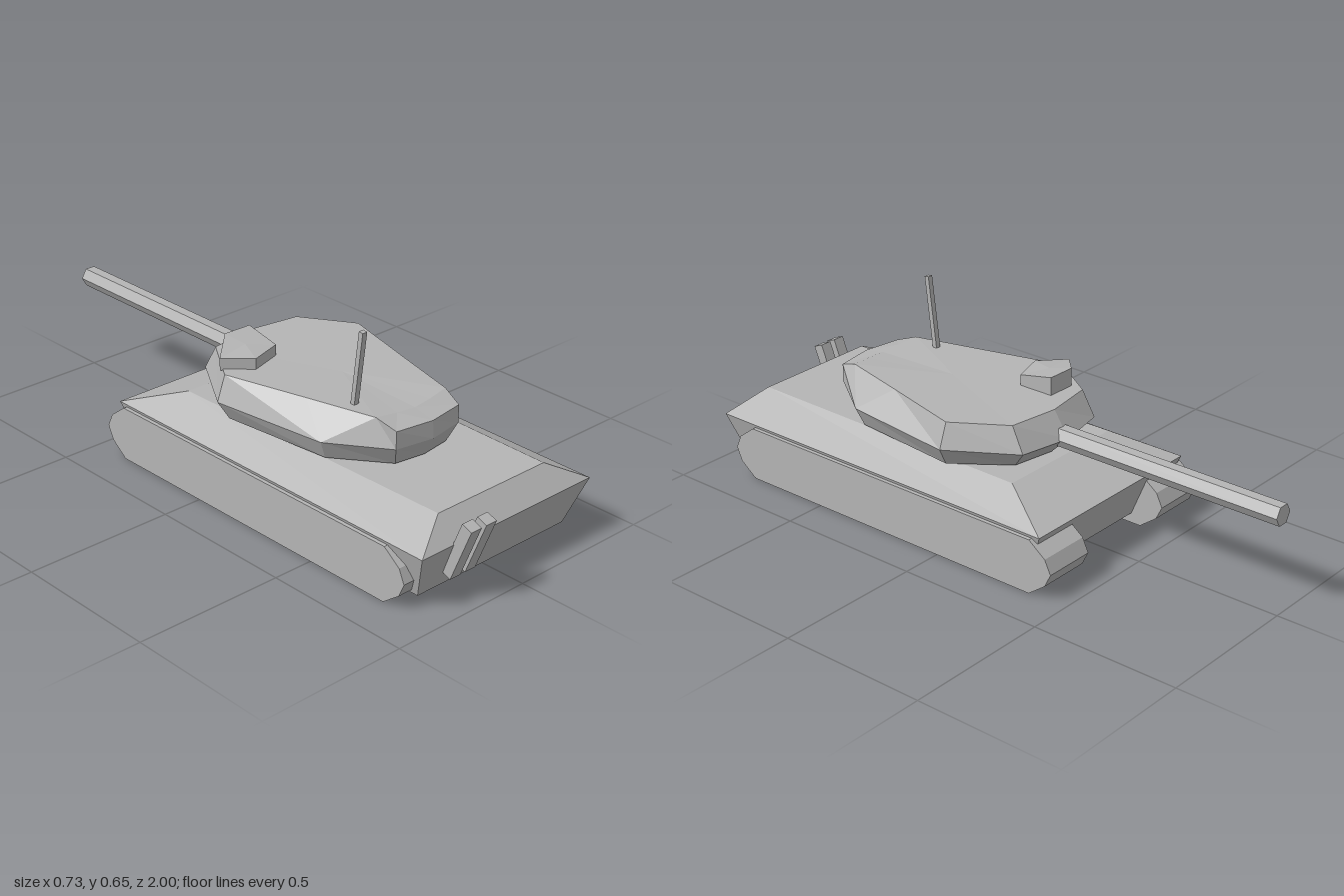
import * as THREE from 'three';

// Skin stacked rings of [x, y, z] points (clockwise seen from above, bottom ring first) and cap both ends.
function loft(rings) {
  const pos = [];
  const tri = (...pts) => {
    const [a, b, c] = pts.map((p) => new THREE.Vector3(...p));
    if (b.sub(a).cross(c.sub(a)).length() > 1e-7) pos.push(...pts.flat());
  };
  const mean = (r) => [0, 1, 2].map((k) => r.reduce((s, p) => s + p[k], 0) / r.length);
  const n = rings[0].length;
  const low = rings[0], high = rings[rings.length - 1];
  const lowMid = mean(low), highMid = mean(high);
  for (let i = 0; i < n; i++) {
    const j = (i + 1) % n;
    for (let k = 0; k + 1 < rings.length; k++) {
      const a = rings[k], b = rings[k + 1];
      tri(a[i], b[i], b[j]);
      tri(a[i], b[j], a[j]);
    }
    tri(lowMid, low[i], low[j]);
    tri(highMid, high[j], high[i]);
  }
  const g = new THREE.BufferGeometry();
  g.setAttribute('position', new THREE.Float32BufferAttribute(pos, 3));
  g.computeVertexNormals();
  return g;
}

// Complete a ring from its +x half, listed from gun end to rear; the ends lie on x = 0.
const mirrorRing = (half) => [
  ...half,
  ...half.slice(1, -1).reverse().map(([x, y, z]) => [-x, y, z]),
];

// Four-cornered ring with its own half width at each end.
const rectRing = (y, w0, z0, w1, z1) => [[-w0, y, z0], [w0, y, z0], [w1, y, z1], [-w1, y, z1]];

export function createModel() {
  const model = new THREE.Group();
  model.name = 'tank';
  const grey = new THREE.MeshStandardMaterial({ color: 0xb4b4b4, flatShading: true });
  grey.name = 'armour grey';

  const add = (name, geometry, x = 0, y = 0, z = 0) => {
    const mesh = new THREE.Mesh(geometry, grey);
    mesh.name = name;
    mesh.position.set(x, y, z);
    model.add(mesh);
    return mesh;
  };

  // Hull: belly, wide rim, narrower deck
  add('hull', loft([
    rectRing(0.033, 0.308, -0.33, 0.308, 0.88),
    rectRing(0.19, 0.354, -0.395, 0.354, 0.937),
    rectRing(0.26, 0.237, -0.195, 0.222, 0.868),
  ]));

  // Tracks: side outline extruded across their width
  const outline = [
    [0.8, 0], [0.86, 0.045], [0.88, 0.09], [0.86, 0.135], [0.8, 0.18],
    [-0.365, 0.18], [-0.425, 0.135], [-0.447, 0.09], [-0.425, 0.045], [-0.365, 0],
  ].map(([z, y]) => new THREE.Vector2(z, y));
  const track = new THREE.ExtrudeGeometry(new THREE.Shape(outline), { depth: 0.179, bevelEnabled: false });
  track.rotateY(-Math.PI / 2);
  add('rightTrack', track, -0.185);
  add('leftTrack', track, 0.364);

  // Turret: base, belt, upper edge, roof that dips to a rear lip
  const top = [
    [0, 0.41, -0.165], [0.17, 0.41, -0.14], [0.28, 0.41, 0.03], [0.205, 0.41, 0.31],
    [0.145, 0.41, 0.54], [0.13, 0.385, 0.61], [0, 0.385, 0.63],
  ];
  add('turret', loft([
    [[0, 0.264, -0.155], [0.145, 0.264, -0.13], [0.272, 0.264, 0.04], [0.232, 0.264, 0.42],
      [0.232, 0.264, 0.42], [0.107, 0.264, 0.585], [0, 0.264, 0.6]],
    [[0, 0.327, -0.22], [0.175, 0.327, -0.185], [0.31, 0.327, 0.03], [0.26, 0.327, 0.43],
      [0.26, 0.327, 0.43], [0.131, 0.327, 0.61], [0, 0.327, 0.633]],
    top,
    [...top.slice(0, 5), [0.07, 0.404, 0.55], [0, 0.4, 0.555]],
  ].map(mirrorRing)));

  // Gun barrel: hexagonal
  const barrel = new THREE.CylinderGeometry(0.035, 0.035, 0.84, 6, 1, false, Math.PI / 2);
  barrel.rotateX(Math.PI / 2);
  add('gunBarrel', barrel, 0, 0.331, -0.58);

  // Hatch with a sloping lid
  const hatch = [
    [-0.17, 0.47, -0.095], [-0.072, 0.47, -0.092], [-0.072, 0.445, 0.03],
    [-0.185, 0.445, 0.065], [-0.265, 0.445, -0.01],
  ];
  add('hatch', loft([hatch.map(([x, , z]) => [x, 0.405, z]), hatch]));

  // Aerial, leaning to the rear
  add('aerial', new THREE.BoxGeometry(0.018, 0.255, 0.016), -0.127, 0.524, 0.447).rotation.x = 0.125;

  // Pair of leaning stacks on the rear plate
  const stack = new THREE.BoxGeometry(0.042, 0.195, 0.038);
  [-0.207, -0.146].forEach((x, i) => {
    add(`exhaustStack${i + 1}`, stack, x, 0.171, 0.946).rotation.x = 0.38;
  });

  return model;
}
